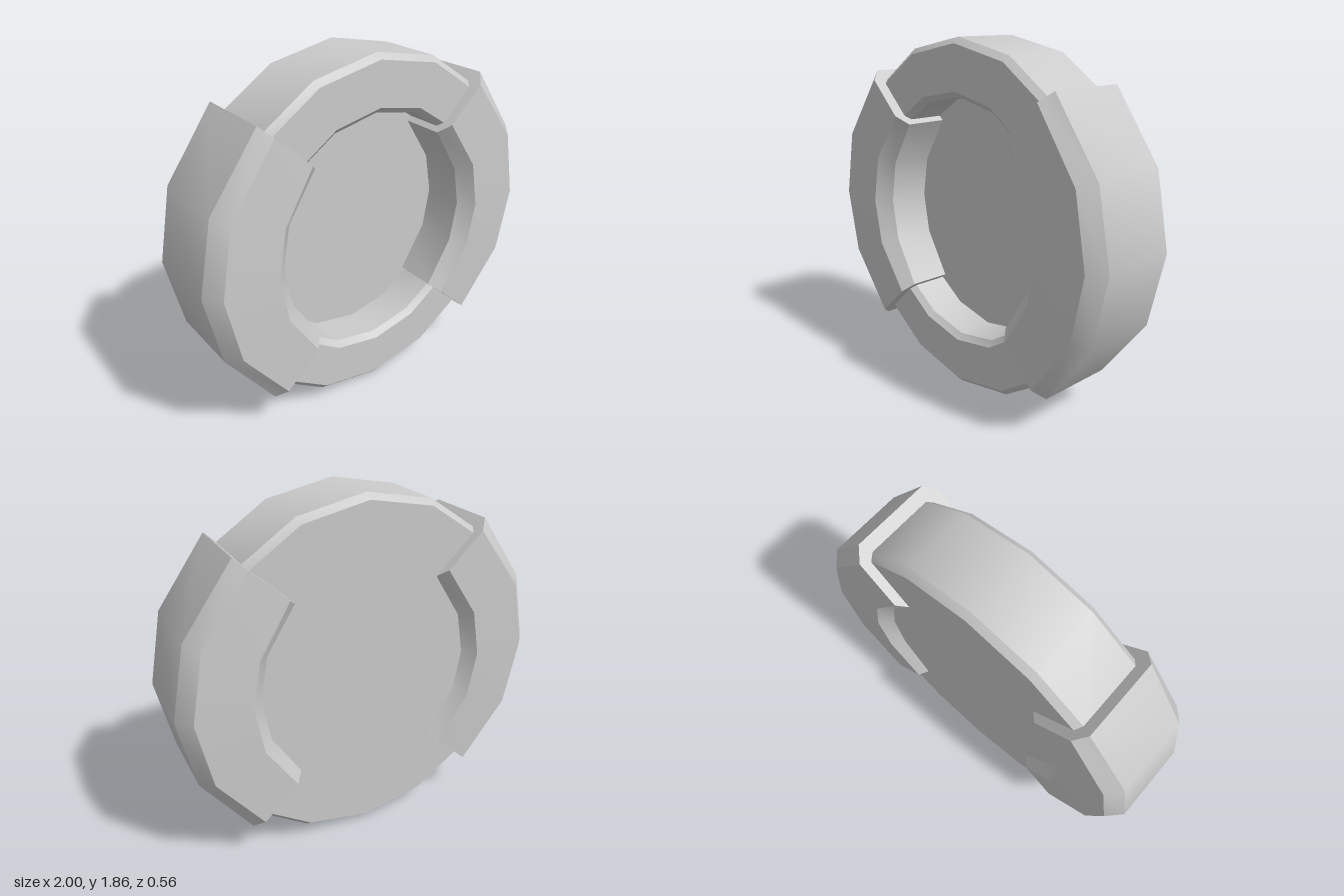
import * as THREE from 'three';
import { toCreasedNormals } from 'three/addons/utils/BufferGeometryUtils.js';

const CREASE = 0.55;
const CENTER_Y = 0.93;

// Shallow dish: closed back, open front, chamfered rims, 16 sides
function dishGeometry() {
  const profile = [
    [0, -0.215], [0.9, -0.215], [0.93, -0.18], [0.93, 0.175], [0.9, 0.205],
    [0.67, 0.205], [0.64, 0.175], [0.64, -0.02], [0, -0.02],
  ].map(([r, z]) => new THREE.Vector2(r, z));
  const geo = new THREE.LatheGeometry(profile, 16);
  geo.rotateX(Math.PI / 2);
  return toCreasedNormals(geo, CREASE);
}

// Curved clamp lofted through chamfered octagonal cross-sections
function clampGeometry() {
  // x, y of: outer edge, outer face edge, inner face edge, inner edge; then face z and edge z
  const half = [
    { p: [[1, 0], [0.93, 0], [0.642, 0], [0.572, 0]], face: 0.28, edge: 0.205 },
    { p: [[0.922, 0.38], [0.86, 0.357], [0.597, 0.25], [0.532, 0.222]], face: 0.277, edge: 0.205 },
    { p: [[0.668, 0.73], [0.618, 0.683], [0.43, 0.507], [0.382, 0.462]], face: 0.263, edge: 0.207 },
  ];
  const flip = ({ p, face, edge }) => ({ p: p.map(([x, y]) => [x, -y]), face, edge });
  const stations = [flip(half[2]), flip(half[1]), ...half];

  const pos = [];
  const index = [];
  for (const { p, face, edge } of stations) {
    const depth = [edge, face, face, edge];
    for (let i = 0; i < 4; i++) pos.push(p[i][0], p[i][1], depth[i]);
    for (let i = 3; i >= 0; i--) pos.push(p[i][0], p[i][1], -depth[i]);
  }
  const n = 8;
  for (let s = 0; s < stations.length - 1; s++) {
    for (let i = 0; i < n; i++) {
      const a = s * n + i;
      const b = s * n + ((i + 1) % n);
      index.push(a, a + n, b + n, a, b + n, b);
    }
  }
  // End caps
  const last = (stations.length - 1) * n;
  for (let i = 1; i < n - 1; i++) {
    index.push(0, i, i + 1);
    index.push(last, last + i + 1, last + i);
  }
  const geo = new THREE.BufferGeometry();
  geo.setAttribute('position', new THREE.Float32BufferAttribute(pos, 3));
  geo.setIndex(index);
  return toCreasedNormals(geo, CREASE);
}

export function createModel() {
  const group = new THREE.Group();
  group.name = 'clampedDish';
  const material = new THREE.MeshStandardMaterial({ color: 0xcccccc });

  const add = (name, geometry, turn = 0) => {
    const mesh = new THREE.Mesh(geometry, material);
    mesh.name = name;
    mesh.position.y = CENTER_Y;
    mesh.rotation.z = turn;
    group.add(mesh);
  };

  add('dish', dishGeometry());
  const clamp = clampGeometry();
  add('leftClamp', clamp);
  add('rightClamp', clamp, Math.PI);
  return group;
}
